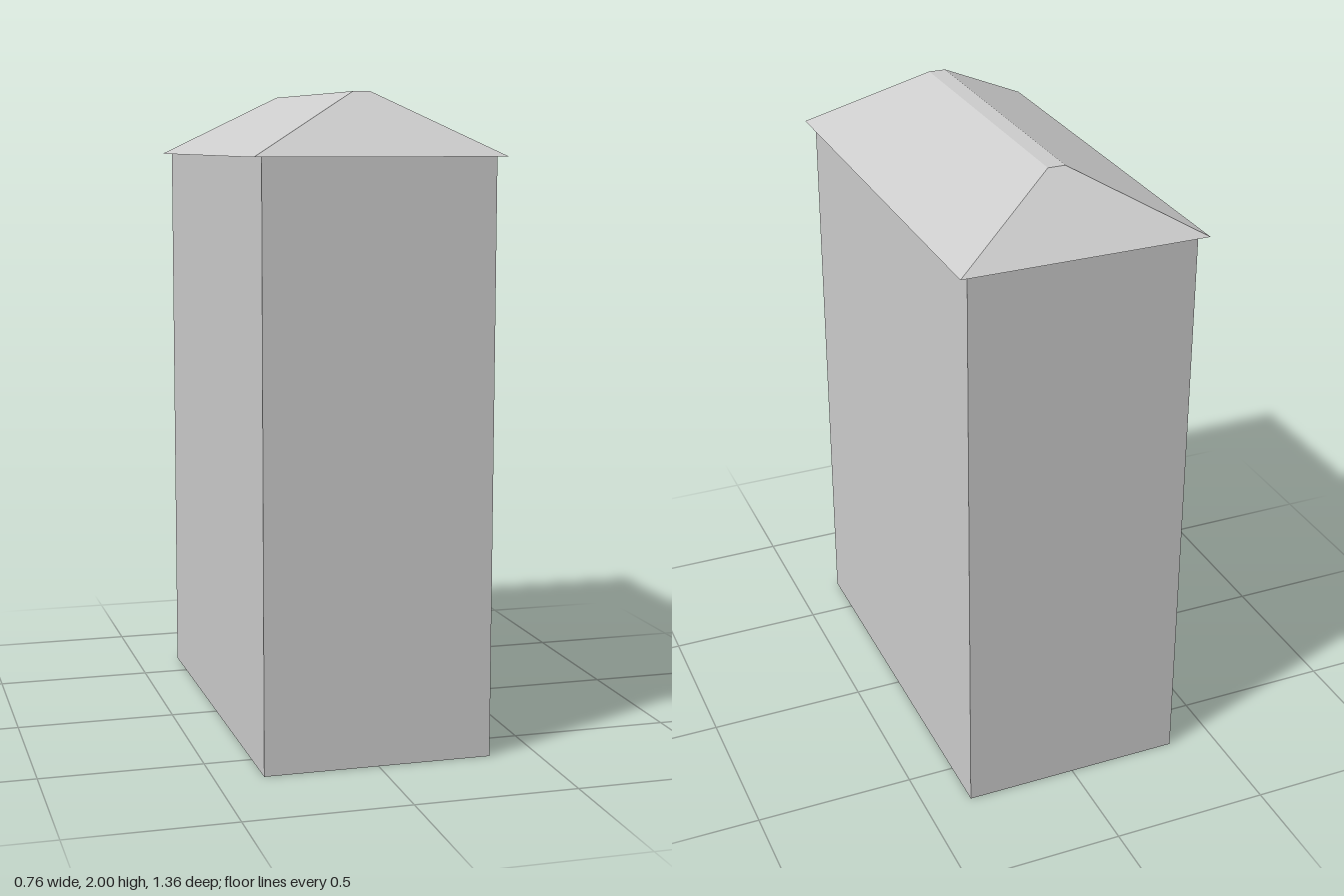
import * as THREE from 'three';

const EAVE_Y = 1.81;
const material = new THREE.MeshStandardMaterial({
  color: 0xcccccc, flatShading: true, side: THREE.DoubleSide,
});

// Four upright walls, open at the bottom
function createWalls(halfX, halfZ) {
  const walls = new THREE.Group();
  walls.name = 'walls';
  ['frontWall', 'leftWall', 'backWall', 'rightWall'].forEach((name, i) => {
    const isSide = i % 2 === 1;
    const angle = i * Math.PI / 2;
    const offset = isSide ? halfX : halfZ;
    const wall = new THREE.Mesh(
      new THREE.PlaneGeometry(2 * (isSide ? halfZ : halfX), EAVE_Y), material);
    wall.name = name;
    wall.position.set(Math.sin(angle) * offset, EAVE_Y / 2, Math.cos(angle) * offset);
    wall.rotation.y = angle;
    walls.add(wall);
  });
  return walls;
}

// Hipped roof: a box whose top corners are drawn in to a narrow flat ridge
function createRoof(halfX, halfZ, ridgeX, ridgeZ) {
  const height = 2 - EAVE_Y;
  const geometry = new THREE.BoxGeometry(2 * halfX, height, 2 * halfZ);
  const position = geometry.attributes.position;
  for (let i = 0; i < position.count; i++) {
    if (position.getY(i) > 0) {
      position.setX(i, Math.sign(position.getX(i)) * ridgeX);
      position.setZ(i, Math.sign(position.getZ(i)) * ridgeZ);
    }
  }
  geometry.computeVertexNormals();
  const roof = new THREE.Mesh(geometry, material);
  roof.name = 'roof';
  roof.position.y = EAVE_Y + height / 2;
  return roof;
}

export function createModel() {
  const model = new THREE.Group();
  model.name = 'hippedRoofTower';
  model.add(createWalls(0.353, 0.661), createRoof(0.381, 0.682, 0.027, 0.462));
  return model;
}
